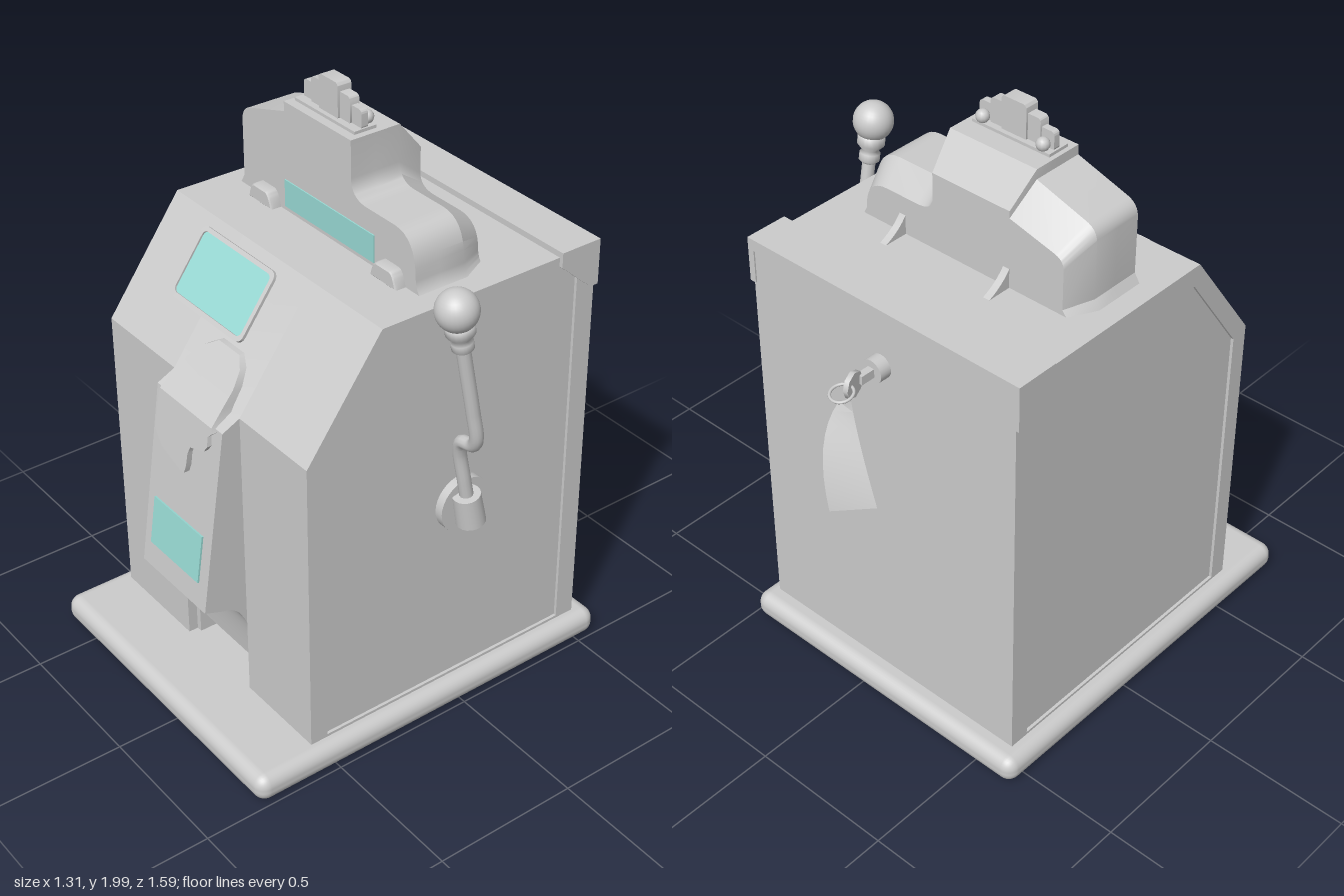
import * as THREE from 'three';
import { toCreasedNormals } from 'three/addons/utils/BufferGeometryUtils.js';
import { RoundedBoxGeometry } from 'three/addons/geometries/RoundedBoxGeometry.js';

const grey = new THREE.MeshStandardMaterial({ color: 0xcccccc });
const sheet = new THREE.MeshStandardMaterial({ color: 0xcccccc, side: THREE.DoubleSide });
const glass = new THREE.MeshStandardMaterial({ color: 0x98dad4 });

export function createModel() {
  const model = new THREE.Group();

  const add = (name, geo, pos = [0, 0, 0], mat = grey, parent = model) => {
    const mesh = new THREE.Mesh(geo, mat);
    mesh.name = name;
    mesh.position.set(...pos);
    parent.add(mesh);
    return mesh;
  };
  const box = (name, x0, x1, y0, y1, z0, z1, mat) =>
    add(name, new THREE.BoxGeometry(x1 - x0, y1 - y0, z1 - z0), [(x0 + x1) / 2, (y0 + y1) / 2, (z0 + z1) / 2], mat);
  const poly = (pts) => new THREE.Shape(pts.map((p) => new THREE.Vector2(...p)));
  const extrude = (shape, depth, opt = {}) =>
    toCreasedNormals(new THREE.ExtrudeGeometry(shape, { depth, bevelEnabled: false, curveSegments: 8, ...opt }), 0.6);
  // Side profile of [z, y] points, extruded from x0 to x1
  const slab = (name, shape, x0, x1) =>
    add(name, extrude(shape, x1 - x0).rotateY(-Math.PI / 2), [x1, 0, 0]);
  const roundRect = (w, h, r, Type = THREE.Shape) => {
    const s = new Type(), a = w / 2 - r, b = h / 2 - r;
    s.absarc(a, b, r, 0, Math.PI / 2);
    s.absarc(-a, b, r, Math.PI / 2, Math.PI);
    s.absarc(-a, -b, r, Math.PI, 1.5 * Math.PI);
    s.absarc(a, -b, r, 1.5 * Math.PI, 2 * Math.PI);
    return s;
  };
  // Skin over rows of points
  const loft = (rows, closed) => {
    const n = rows[0].length, idx = [];
    for (let i = 0; i < rows.length - 1; i++) {
      for (let j = 0; j < (closed ? n : n - 1); j++) {
        const a = i * n + j, b = i * n + ((j + 1) % n);
        idx.push(a, a + n, b + n, a, b + n, b);
      }
    }
    const g = new THREE.BufferGeometry();
    g.setAttribute('position', new THREE.Float32BufferAttribute(rows.flat(2), 3));
    g.setIndex(idx);
    g.computeVertexNormals();
    return toCreasedNormals(g, 0.6);
  };

  // Base
  add('base', new RoundedBoxGeometry(1.155, 0.095, 1.38, 4, 0.042), [-0.0825, 0.053, 0.11]);

  // Cabinet: two flanks around a centre section that carries the chute and tray
  const outline = [[-0.51, 0.09], [0.573, 0.09], [0.57, 1.14], [0.3, 1.51], [-0.51, 1.51]];
  slab('cabinetRight', poly(outline), -0.595, -0.24);
  slab('cabinetLeft', poly(outline), 0.11, 0.435);
  const centre = new THREE.Shape();
  centre.moveTo(-0.51, 0.09);
  centre.lineTo(0.5, 0.09);
  centre.quadraticCurveTo(0.43, 0.11, 0.44, 0.195);
  centre.lineTo(0.54, 0.195);
  centre.quadraticCurveTo(0.56, 0.36, 0.587, 0.4);
  centre.quadraticCurveTo(0.61, 0.45, 0.66, 0.457);
  centre.lineTo(0.725, 0.48);
  centre.lineTo(0.632, 1.11);
  centre.lineTo(0.57, 1.14);
  centre.lineTo(0.3, 1.51);
  centre.lineTo(-0.51, 1.51);
  slab('cabinetCentre', centre, -0.24, 0.11);
  for (const x of [-0.24, 0.09]) box('trayCheek', x, x + 0.02, 0.09, 0.2, 0.42, 0.54);

  // Shallow rims around the side panels
  const rim = poly(outline);
  rim.holes.push(new THREE.Path([[-0.44, 0.11], [0.51, 0.11], [0.51, 1.12], [0.28, 1.44], [-0.44, 1.44]]
    .map((p) => new THREE.Vector2(...p))));
  slab('sideRimRight', rim, -0.605, -0.595);
  slab('sideRimLeft', rim, 0.435, 0.445);

  // Rear top strip with a bracket on each end
  box('rearStrip', -0.605, 0.445, 1.49, 1.53, -0.515, -0.365);
  const bracket = poly([[-0.515, 1.375], [-0.485, 1.375], [-0.365, 1.48], [-0.365, 1.53], [-0.515, 1.53]]);
  slab('bracketRight', bracket, -0.62, -0.595);
  slab('bracketLeft', bracket, 0.435, 0.458);

  // Reel window on the slope
  const reel = new THREE.Group();
  reel.name = 'reelWindow';
  reel.position.set(-0.218, 1.383, 0.393);
  reel.rotation.x = -Math.atan2(0.27, 0.37);
  model.add(reel);
  const frame = roundRect(0.385, 0.24, 0.025);
  frame.holes.push(roundRect(0.355, 0.21, 0.018, THREE.Path));
  add('reelFrame', extrude(frame, 0.016), [0, 0, -0.006], grey, reel);
  add('reelGlass', new THREE.BoxGeometry(0.36, 0.215, 0.008), [0, 0, 0], glass, reel);

  // Window in the chute
  add('chuteGlass', new THREE.BoxGeometry(0.265, 0.167, 0.01), [-0.068, 0.65, 0.701], glass).rotation.x = -0.147;

  // Head medallion in profile, bent over the top of the chute: rows of y, back x, face x
  const head = [
    [1.275, -0.05, -0.05], [1.275, -0.106, 0], [1.249, -0.148, 0.037], [1.206, -0.185, 0.058],
    [1.159, -0.2, 0.063], [1.115, -0.207, 0.072], [1.1, -0.21, 0.08], [1.08, -0.21, 0.058],
    [1.048, -0.21, 0.063], [1.026, -0.21, 0.048], [1.005, -0.21, -0.02], [0.979, -0.21, -0.03],
    [0.937, -0.165, -0.03], [0.91, -0.06, -0.037], [0.91, -0.045, -0.045],
  ].map(([y, l, r]) => {
    const z = y > 1.115 ? 0.64 - (y - 1.115) * 0.94 : 0.645 + (1.115 - y) * 0.18;
    return [[l, y, 0.44], [l, y, z], [r, y, z], [r, y, 0.44]];
  });
  add('headMedallion', loft(head, true), [0, 0, 0], sheet);

  // Stepped topper, tapering towards the back
  const top = new THREE.Shape();
  top.moveTo(-0.54, 1.5);
  top.lineTo(-0.515, 1.54);
  top.lineTo(-0.515, 1.73);
  top.quadraticCurveTo(-0.515, 1.77, -0.48, 1.785);
  top.lineTo(-0.29, 1.845);
  top.lineTo(-0.29, 1.878);
  top.lineTo(0.042, 1.878);
  top.lineTo(0.042, 1.755);
  top.quadraticCurveTo(0.045, 1.695, 0.11, 1.692);
  top.lineTo(0.25, 1.692);
  top.quadraticCurveTo(0.345, 1.69, 0.348, 1.56);
  top.quadraticCurveTo(0.35, 1.52, 0.375, 1.5);
  const topGeo = new THREE.ExtrudeGeometry(top, { depth: 0.27, steps: 3, bevelEnabled: false, curveSegments: 8 });
  topGeo.translate(0, 0, -0.165);
  const p = topGeo.attributes.position;
  for (let i = 0; i < p.count; i++) {
    if (p.getZ(i) > -0.1) continue;
    p.setX(i, -0.08 + (p.getX(i) + 0.08) * 0.9);
    p.setY(i, 1.5 + (p.getY(i) - 1.5) * 0.72);
  }
  add('topper', toCreasedNormals(topGeo, 0.5));
  box('topperGlass', -0.29, 0.155, 1.525, 1.617, 0.09, 0.109, glass);
  const foot = new THREE.Shape();
  foot.moveTo(-0.063, 0);
  foot.quadraticCurveTo(-0.05, 0.055, -0.03, 0.055);
  foot.lineTo(0.03, 0.055);
  foot.quadraticCurveTo(0.05, 0.055, 0.063, 0);
  for (const x of [-0.38, 0.24]) {
    add('topperFoot', extrude(foot, 0.03, { bevelEnabled: true, bevelSize: 0.006, bevelThickness: 0.012, bevelOffset: -0.006, bevelSegments: 2 }), [x, 1.508, 0.1]);
  }
  const fin = new THREE.Shape();
  fin.moveTo(-0.15, 1.5);
  fin.lineTo(-0.15, 1.6);
  fin.quadraticCurveTo(-0.18, 1.54, -0.25, 1.51);
  fin.lineTo(-0.25, 1.5);
  for (const x of [-0.258, 0.155]) slab('topperFin', fin, x - 0.012, x + 0.012);

  // Stepped crown with studs behind it
  box('crownPlate', -0.275, 0.02, 1.875, 1.888, -0.005, 0.075);
  const cx = -0.127;
  for (const [half, y, z0, z1] of [[0.142, 1.945, 0.022, 0.045], [0.095, 1.972, 0.017, 0.052], [0.047, 2, 0.01, 0.06]]) {
    add('crownTier', extrude(roundRect(half * 2, y - 1.88, 0.013), z1 - z0), [cx, (y + 1.88) / 2, z0]);
  }
  for (const s of [-1, 1]) add('crownStud', new THREE.SphereGeometry(0.022, 12, 8), [cx + s * 0.115, 1.905, 0.005]);

  // Pull handle
  add('handleDisc', new THREE.CylinderGeometry(0.095, 0.095, 0.03, 32).rotateZ(Math.PI / 2), [0.45, 0.775, -0.01]);
  const handle = new THREE.Group();
  handle.name = 'handle';
  handle.position.set(0, 0.775, -0.005);
  handle.rotation.x = 0.188;
  model.add(handle);
  add('handleHub', new THREE.CylinderGeometry(0.045, 0.048, 0.11, 20), [0.485, 0.005, 0], grey, handle);
  const arm = new THREE.CatmullRomCurve3([
    [0.485, 0, 0], [0.485, 0.12, 0], [0.487, 0.24, 0], [0.505, 0.285, 0], [0.56, 0.305, 0],
    [0.583, 0.34, 0], [0.587, 0.45, 0], [0.587, 0.6, 0], [0.587, 0.78, 0],
  ].map((v) => new THREE.Vector3(...v)));
  add('handleArm', new THREE.TubeGeometry(arm, 60, 0.022, 12), [0, 0, 0], grey, handle);
  add('handleCollar', new THREE.LatheGeometry([[0.022, 0.68], [0.034, 0.69], [0.034, 0.715], [0.026, 0.725], [0.045, 0.745], [0.045, 0.775], [0.02, 0.79]]
    .map((v) => new THREE.Vector2(...v)), 20), [0.587, 0, 0], grey, handle);
  add('handleKnob', new THREE.SphereGeometry(0.066, 28, 18), [0.587, 0.825, 0], grey, handle);

  // Lock, key, ring and paper tag on the back
  add('lock', new THREE.CylinderGeometry(0.04, 0.04, 0.045, 24).rotateX(Math.PI / 2), [-0.085, 1.328, -0.528]);
  box('keyShaft', -0.097, -0.073, 1.313, 1.343, -0.6, -0.54);
  const bow = add('keyBow', new THREE.CylinderGeometry(0.043, 0.043, 0.016, 8).rotateZ(Math.PI / 2), [-0.085, 1.325, -0.625]);
  bow.rotation.y = 0.25;
  const ring = add('keyRing', new THREE.TorusGeometry(0.036, 0.005, 8, 24).rotateX(Math.PI / 2), [-0.09, 1.325, -0.675]);
  ring.rotation.x = -0.2;
  const edge = (...pts) => new THREE.QuadraticBezierCurve3(...pts.map((v) => new THREE.Vector3(...v))).getPoints(8);
  const inner = edge([-0.06, 1.27, -0.66], [-0.06, 1.2, -0.77], [-0.14, 0.985, -0.793]);
  const outer = edge([-0.125, 1.31, -0.672], [-0.19, 1.23, -0.715], [-0.31, 1.08, -0.765]);
  add('tag', loft(inner.map((v, i) => [v.toArray(), outer[i].toArray()]), false), [0, 0, 0], sheet);

  return model;
}
